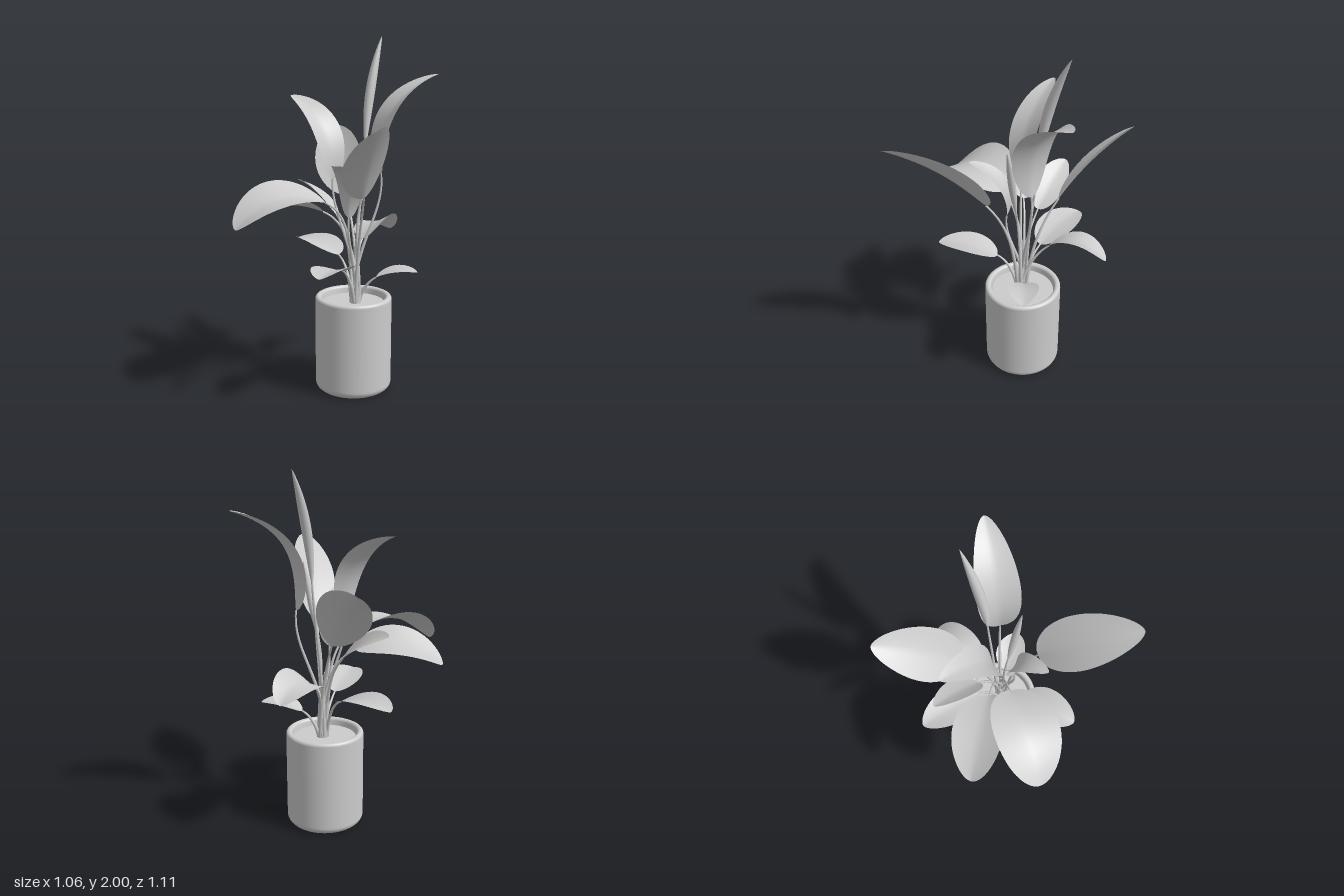
import * as THREE from 'three';

const material = new THREE.MeshStandardMaterial({ color: 0xcccccc, side: THREE.DoubleSide });
const POT = { x: 0.037, z: -0.078 };

function part(name, geometry) {
  const mesh = new THREE.Mesh(geometry, material);
  mesh.name = name;
  return mesh;
}

// Midrib arched by `lift` above the line from base to tip, and the sideways axis of the leaf.
// `roll` turns the leaf about its own length, in radians.
function leafFrame({ base, tip, lift, roll = 0 }) {
  const start = new THREE.Vector3(...base);
  const end = new THREE.Vector3(...tip);
  const heading = end.clone().sub(start).normalize();
  const across = heading.clone().cross(new THREE.Vector3(0, 1, 0)).normalize();
  const up = across.clone().cross(heading);
  const control = start.clone().lerp(end, 0.5).addScaledVector(up, lift * 2);
  across.applyAxisAngle(heading, -roll);
  return { curve: new THREE.QuadraticBezierCurve3(start, control, end), across };
}

// Tube whose radius follows radiusAt(t)
function taperedTube(curve, radiusAt, segments, sides) {
  const geo = new THREE.TubeGeometry(curve, segments, 1, sides, false);
  const pos = geo.attributes.position;
  const p = new THREE.Vector3();
  for (let i = 0; i <= segments; i++) {
    const centre = curve.getPointAt(i / segments);
    const r = radiusAt(i / segments);
    for (let j = 0; j <= sides; j++) {
      const k = i * (sides + 1) + j;
      p.fromBufferAttribute(pos, k).sub(centre).multiplyScalar(r).add(centre);
      pos.setXYZ(k, p.x, p.y, p.z);
    }
  }
  return geo;
}

// Leaf blade: a blunt oval outline swept along the midrib, edges lifted into a shallow trough
function bladeGeometry({ curve, across }, half) {
  const rows = 36, cols = 12, cup = 0.2;
  const geo = new THREE.PlaneGeometry(1, 1, cols, rows);
  const pos = geo.attributes.position;
  const p = new THREE.Vector3();
  for (let i = 0; i <= rows; i++) {
    const t = (1 - Math.cos((Math.PI * i) / rows)) / 2;
    const tangent = curve.getTangentAt(t);
    const side = across.clone().addScaledVector(tangent, -across.dot(tangent)).normalize();
    const up = side.clone().cross(tangent);
    const width = half * Math.pow(Math.max(0, Math.sin(Math.PI * Math.pow(t, 0.86))), 0.58);
    for (let j = 0; j <= cols; j++) {
      const u = (j / cols) * 2 - 1;
      p.copy(curve.getPointAt(t))
        .addScaledVector(side, u * width)
        .addScaledVector(up, cup * width * Math.pow(Math.abs(u), 1.4));
      pos.setXYZ(i * (cols + 1) + j, p.x, p.y, p.z);
    }
  }
  geo.computeVertexNormals();
  return geo;
}

// Young leaf still rolled into a pointed spear
function spearGeometry({ curve }, radius) {
  const shape = (t) => radius * Math.pow(Math.max(0, Math.sin(Math.PI * (0.06 + 0.94 * t))), 0.8);
  return taperedTube(curve, shape, 28, 14);
}

// Stalk rising from the soil and bending into the start of the leaf
function stalkGeometry({ curve }, index) {
  const angle = index * 2.4;
  const start = new THREE.Vector3(0.05 + 0.022 * Math.cos(angle), 0.5, -0.08 + 0.022 * Math.sin(angle));
  const end = curve.getPointAt(0);
  const span = end.clone().sub(start);
  const c1 = start.clone().add(new THREE.Vector3(span.x * 0.12, span.y * 0.5, span.z * 0.12));
  const c2 = end.clone().addScaledVector(curve.getTangentAt(0), -span.y * 0.3);
  return taperedTube(new THREE.CubicBezierCurve3(start, c1, c2, end), (t) => 0.012 - 0.007 * t, 24, 8);
}

const openLeaves = [
  // tall leaves
  { name: 'tallLeftLeaf', base: [-0.06, 1.22, -0.01], tip: [-0.38, 1.67, -0.05], lift: 0.11, half: 0.092, roll: 0.2 },
  { name: 'tallBackLeaf', base: [0.15, 1.25, -0.18], tip: [0.34, 1.79, -0.47], lift: 0.135, half: 0.115 },
  { name: 'backCornerLeaf', base: [-0.11, 1.1, -0.22], tip: [-0.45, 1.45, -0.5], lift: 0.035, half: 0.145, roll: 0.62 },
  { name: 'frontCornerLeaf', base: [0.2, 1.15, 0.06], tip: [0.53, 1.55, 0.45], lift: 0.04, half: 0.145, roll: -0.57 },
  // middle leaves
  { name: 'largeFrontLeaf', base: [-0.04, 1.1, 0.08], tip: [-0.28, 1, 0.545], lift: 0.095, half: 0.18, roll: 0.2 },
  { name: 'sideLeaf', base: [-0.12, 1.03, 0], tip: [-0.52, 0.95, 0.25], lift: 0.07, half: 0.15, roll: -0.3 },
  { name: 'innerSideLeaf', base: [-0.1, 1, -0.1], tip: [-0.4, 1.17, -0.13], lift: 0.025, half: 0.085, roll: -0.4 },
  { name: 'smallFrontLeaf', base: [0.065, 1.02, 0.01], tip: [0.11, 1.33, 0.21], lift: 0.085, half: 0.066 },
  { name: 'backLeaf', base: [0, 0.85, -0.22], tip: [-0.02, 0.85, -0.55], lift: 0.075, half: 0.115, roll: 0.3 },
  // low leaves
  { name: 'lowRightLeaf', base: [-0.1, 0.76, -0.12], tip: [-0.46, 0.8, -0.2], lift: 0.03, half: 0.11 },
  { name: 'lowLeftLeaf', base: [0.15, 0.66, -0.14], tip: [0.36, 0.7, -0.24], lift: 0.02, half: 0.085 },
  { name: 'lowFrontLeaf', base: [0.07, 0.73, 0.07], tip: [0.16, 0.775, 0.4], lift: 0.025, half: 0.11, roll: -0.1 },
];

const spears = [
  { name: 'tallSpear', base: [0.05, 1.42, -0.17], tip: [0.05, 2, -0.33], lift: 0.03, half: 0.027 },
  { name: 'shortSpear', base: [0.09, 1.08, -0.06], tip: [0.19, 1.5, -0.06], lift: 0, half: 0.02 },
];

// Round pot with soft bottom edge, thick rounded rim and hollow inside
function potGeometry() {
  const profile = new THREE.Path();
  profile.moveTo(0, 0);
  profile.lineTo(0.165, 0);
  profile.lineTo(0.175, 0);
  profile.absarc(0.175, 0.043, 0.043, -Math.PI / 2, 0, false);
  profile.lineTo(0.218, 0.05);
  profile.lineTo(0.218, 0.53);
  profile.absarc(0.2, 0.534, 0.018, 0, Math.PI, false);
  profile.lineTo(0.18, 0.525);
  profile.lineTo(0.175, 0.49);
  return new THREE.LatheGeometry(profile.getPoints(8), 64);
}

export function createModel() {
  const model = new THREE.Group();
  model.name = 'pottedPlant';

  const pot = part('pot', potGeometry());
  pot.position.set(POT.x, 0, POT.z);
  const soil = part('soil', new THREE.CylinderGeometry(0.177, 0.177, 0.02, 48));
  soil.position.set(POT.x, 0.5, POT.z);
  model.add(pot, soil);

  // Each leaf is a stalk with an open or rolled blade
  let index = 0;
  const addLeaf = (leaf, makeBlade) => {
    const frame = leafFrame(leaf);
    const group = new THREE.Group();
    group.name = leaf.name;
    group.add(part('stalk', stalkGeometry(frame, index++)), part('blade', makeBlade(frame, leaf.half)));
    model.add(group);
  };
  openLeaves.forEach((leaf) => addLeaf(leaf, bladeGeometry));
  spears.forEach((leaf) => addLeaf(leaf, spearGeometry));
  return model;
}
